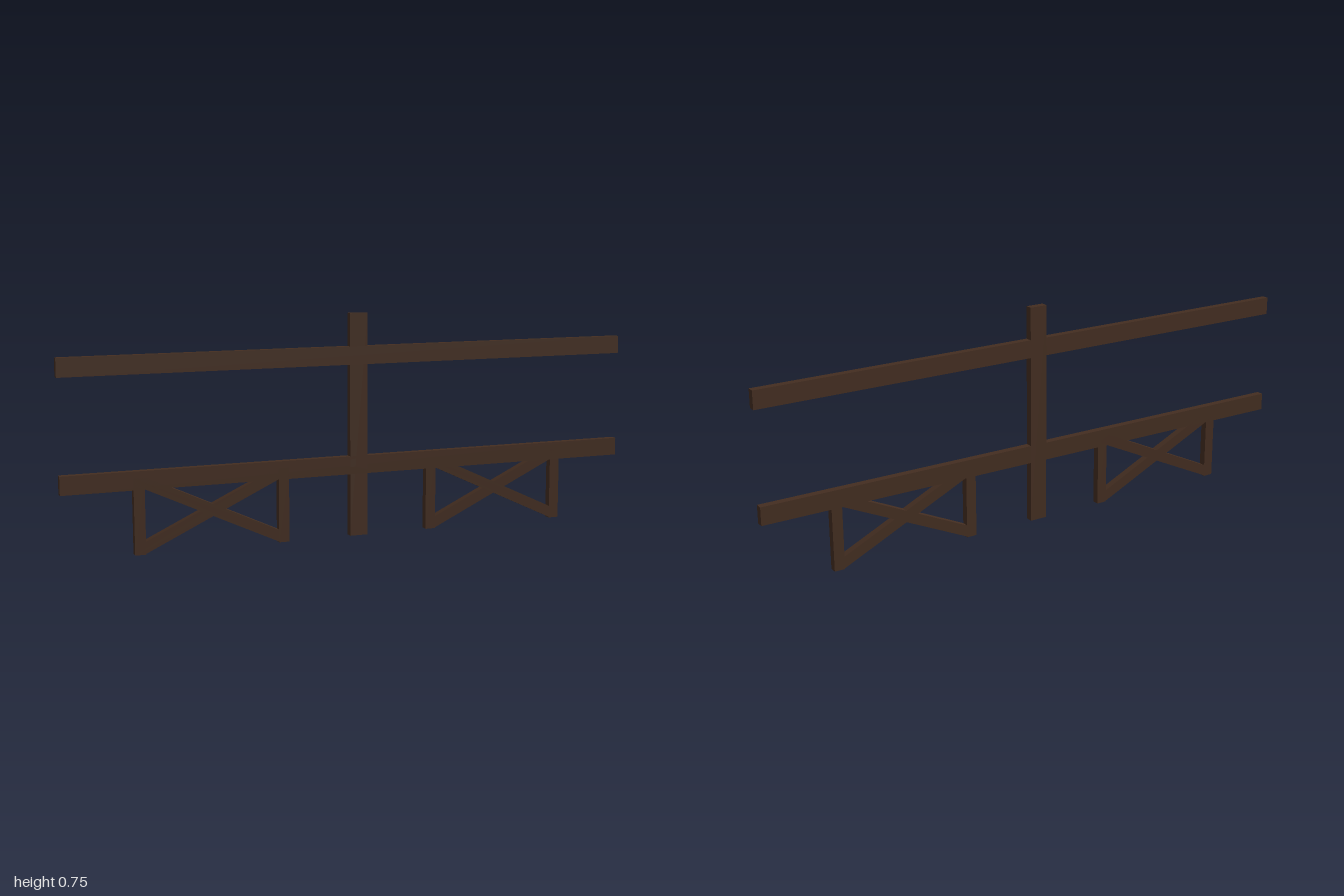
import * as THREE from 'three';

const DEPTH = 0.025;

export function createModel() {
  const group = new THREE.Group();
  const wood = new THREE.MeshStandardMaterial({ color: 0x432d20, flatShading: true });

  const add = (name, geometry, x, y, parent = group) => {
    const mesh = new THREE.Mesh(geometry, wood);
    mesh.name = name;
    mesh.position.set(x, y, 0);
    parent.add(mesh);
    return mesh;
  };
  const beam = (w, h) => new THREE.BoxGeometry(w, h, DEPTH);

  // Central post and the two long rails
  add('post', beam(0.062, 0.753), 0, 0.3765);
  add('upperRail', beam(2, 0.061), 0, 0.6125);
  add('lowerRail', beam(2, 0.061), 0, 0.2425);

  // Diagonal brace, cut flush with the legs, the ground and the lower rail
  const half = 0.26, slope = 0.47, mid = 0.128, h = 0.02, top = 0.25;
  const outline = [
    [-half, 0],
    [(h - mid) / slope, 0],
    [half, mid + slope * half - h],
    [half, top],
    [(top - mid - h) / slope, top],
    [-half, mid - slope * half + h],
  ];
  const diagonal = (flip) => {
    const points = outline.map(([x, y]) => new THREE.Vector2(x * flip, y));
    const geometry = new THREE.ExtrudeGeometry(new THREE.Shape(points), { depth: DEPTH, bevelEnabled: false });
    return geometry.translate(0, 0, -DEPTH / 2);
  };

  // Crossed foot frame on each side of the post
  for (const side of [-1, 1]) {
    const frame = new THREE.Group();
    frame.name = side > 0 ? 'leftFootFrame' : 'rightFootFrame';
    frame.position.x = side * 0.508;
    for (const end of [-1, 1]) {
      add('frameLeg', beam(0.036, top), end * (half - 0.018), top / 2, frame);
      add('diagonalBrace', diagonal(end), 0, 0, frame);
    }
    group.add(frame);
  }
  return group;
}
